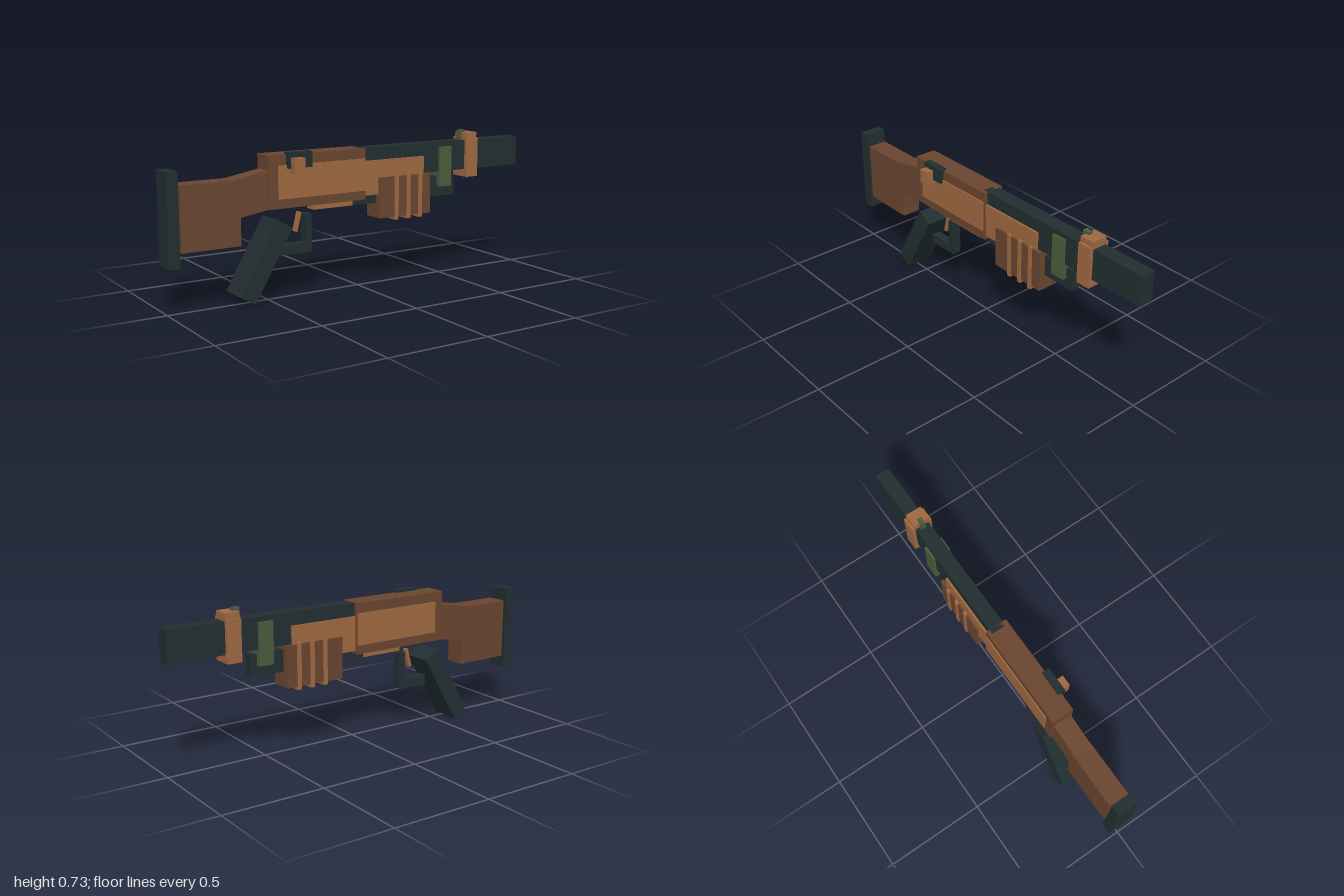
import * as THREE from 'three';

const mat = (name, color) => {
  const m = new THREE.MeshStandardMaterial({ color });
  m.name = name;
  return m;
};

export function createModel() {
  const darkMetal = mat('darkMetal', 0x222e30);
  const walnut = mat('walnut', 0x6a4530);
  const copper = mat('copper', 0x9f6841);
  const olive = mat('olive', 0x4b5b3c);

  const model = new THREE.Group();
  model.name = 'longGun';
  const MID = -0.019; // centre plane of the body

  const add = (name, geometry, material) => {
    const mesh = new THREE.Mesh(geometry, material);
    mesh.name = name;
    model.add(mesh);
    return mesh;
  };
  // Box given by its extents
  const box = (name, material, x0, x1, y0, y1, z0, z1) => {
    const mesh = add(name, new THREE.BoxGeometry(x1 - x0, y1 - y0, z1 - z0), material);
    mesh.position.set((x0 + x1) / 2, (y0 + y1) / 2, (z0 + z1) / 2);
    return mesh;
  };
  // Box centred on the body plane with a given width
  const body = (name, material, x0, x1, y0, y1, width) =>
    box(name, material, x0, x1, y0, y1, MID - width / 2, MID + width / 2);

  // Barrel and lower tube
  body('barrel', darkMetal, 0, 1, 0.533, 0.684, 0.073);
  body('lowerTube', darkMetal, -0.04, 0.59, 0.405, 0.508, 0.046);

  // Muzzle band with a narrower cap, and the front sight
  body('muzzleBand', copper, 0.647, 0.72, 0.493, 0.695, 0.109);
  body('muzzleBandCap', copper, 0.647, 0.72, 0.695, 0.722, 0.083);
  body('frontSight', olive, 0.63, 0.665, 0.68, 0.735, 0.023);
  body('barrelClamp', olive, 0.48, 0.555, 0.456, 0.66, 0.096);

  // Receiver with raised side panels
  body('receiver', walnut, -0.503, 0.025, 0.433, 0.684, 0.111);
  body('receiverPanel', copper, -0.455, 0.02, 0.478, 0.635, 0.124);
  body('loadingPlate', copper, -0.255, -0.035, 0.406, 0.436, 0.06);

  // Hand guard and ribbed pump grip
  body('handGuard', copper, 0.02, 0.38, 0.45, 0.62, 0.094);
  body('pumpGrip', walnut, 0.107, 0.415, 0.33, 0.533, 0.111);
  for (const x of [0.207, 0.279, 0.351]) {
    body('pumpRib', copper, x - 0.011, x + 0.011, 0.315, 0.54, 0.122);
  }

  // Stock: butt block, sloping neck and end pad
  body('stockButt', walnut, -0.935, -0.645, 0.28, 0.583, 0.1);
  const neck = new THREE.Shape([
    [-0.685, 0.582], [-0.685, 0.41], [-0.645, 0.41], [-0.5, 0.433], [-0.5, 0.615],
  ].map(([x, y]) => new THREE.Vector2(x, y)));
  const neckGeometry = new THREE.ExtrudeGeometry(neck, { depth: 0.094, bevelEnabled: false });
  neckGeometry.translate(0, 0, MID - 0.047);
  add('stockNeck', neckGeometry, walnut);
  body('buttPad', darkMetal, -1, -0.945, 0.214, 0.647, 0.112);

  // Slanted pistol grip
  const grip = add('pistolGrip', new THREE.BoxGeometry(0.09, 0.394, 0.148), darkMetal);
  grip.position.set(-0.53, 0.194, MID);
  grip.rotation.z = -Math.PI / 6;

  // Trigger and guard
  body('guardPost', darkMetal, -0.295, -0.26, 0.214, 0.39, 0.046);
  body('guardBar', darkMetal, -0.43, -0.265, 0.203, 0.25, 0.046);
  const trigger = add('trigger', new THREE.BoxGeometry(0.016, 0.096, 0.024), copper);
  trigger.position.set(-0.328, 0.353, MID);
  trigger.rotation.z = -0.24;

  // Bolt on the front side
  box('boltBlock', darkMetal, -0.412, -0.285, 0.62, 0.695, 0.02, 0.058);
  box('boltKnob', copper, -0.397, -0.343, 0.596, 0.67, 0.036, 0.095);

  return model;
}
